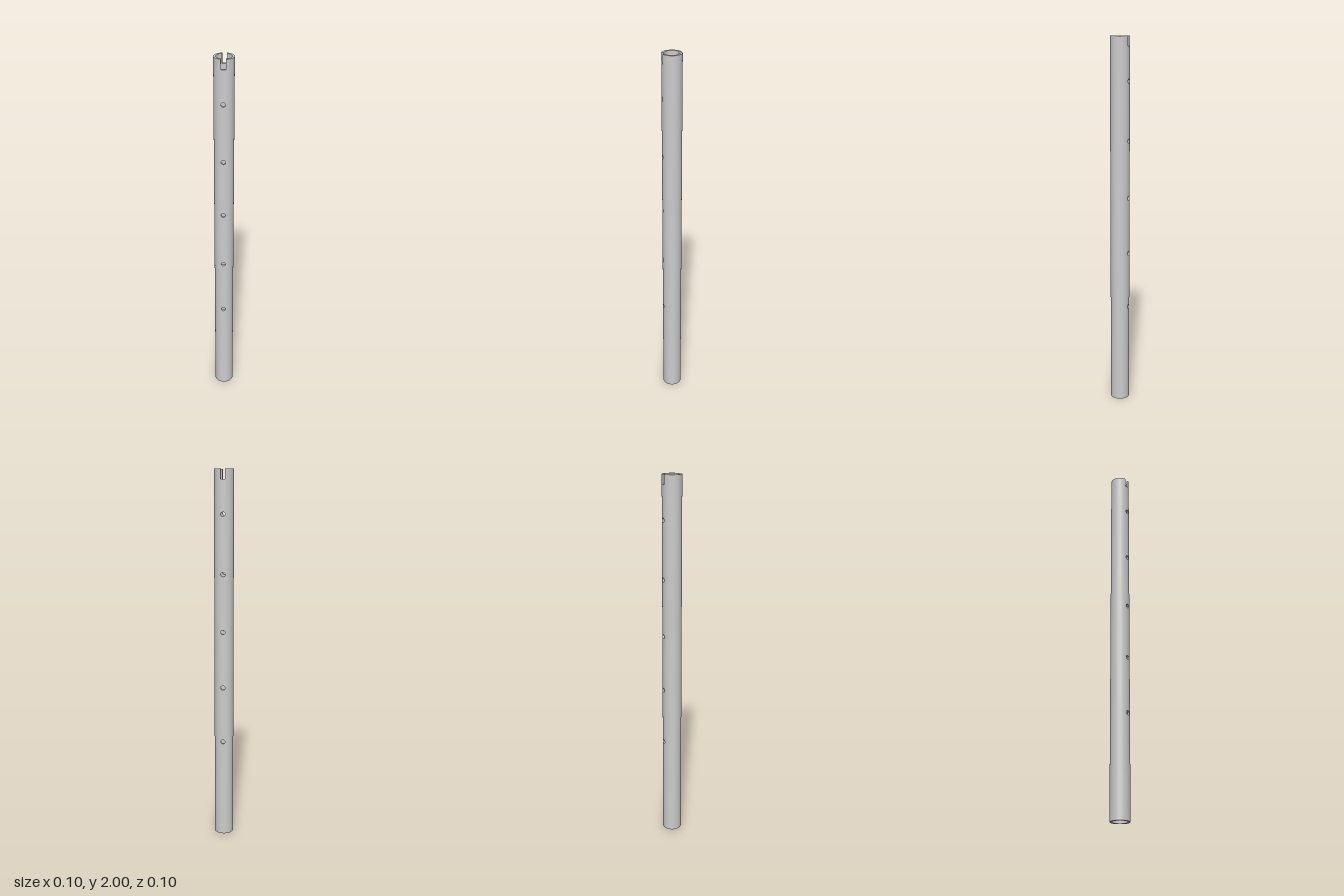
import * as THREE from 'three';
import { mergeGeometries } from 'three/addons/utils/BufferGeometryUtils.js';

const OUTER = 0.0513, INNER = 0.0397, HEIGHT = 2;
const HOLE = 0.0117;               // hole radius and half the slot width
const SLOT_FLOOR = 1.95;
const HOLES = [0.548, 0.855, 1.161, 1.468, 1.775];

// Ruled surface from curve a(t) to curve b(t); radial = 1 / -1 gives round outward / inward normals
function ruled(a, b, n, radial = 0) {
  const pos = [], index = [];
  for (let i = 0; i <= n; i++) {
    pos.push(...a(i / n), ...b(i / n));
    if (i < n) index.push(2 * i, 2 * i + 2, 2 * i + 1, 2 * i + 1, 2 * i + 2, 2 * i + 3);
  }
  const g = new THREE.BufferGeometry();
  g.setAttribute('position', new THREE.Float32BufferAttribute(pos, 3));
  g.setIndex(index);
  g.computeVertexNormals();
  if (radial) {
    const v = new THREE.Vector3();
    for (let i = 0; i < pos.length / 3; i++) {
      v.set(pos[3 * i], 0, pos[3 * i + 2]).normalize().multiplyScalar(radial);
      g.attributes.normal.setXYZ(i, v.x, v.y, v.z);
    }
  }
  return g;
}

// Curved piece of wall: outside, inside, top and bottom faces
function wall(angle, low, high, n) {
  const edge = (r, y) => (t) => {
    const a = angle(r, t);
    return [r * Math.sin(a), y(t), r * Math.cos(a)];
  };
  return [
    ruled(edge(OUTER, low), edge(OUTER, high), n, 1),
    ruled(edge(INNER, high), edge(INNER, low), n, -1),
    ruled(edge(OUTER, high), edge(INNER, high), n),
    ruled(edge(INNER, low), edge(OUTER, low), n),
  ];
}

export function createModel() {
  const model = new THREE.Group();
  model.name = 'slottedTube';
  const material = new THREE.MeshStandardMaterial({ color: 0xcccccc });

  // Side shell between the two slots, with the flat slot cheeks
  const start = (r) => Math.asin(HOLE / r);
  const shell = wall((r, t) => start(r) + t * (Math.PI - 2 * start(r)), () => 0, () => HEIGHT, 32);
  const zOut = Math.sqrt(OUTER ** 2 - HOLE ** 2), zIn = Math.sqrt(INNER ** 2 - HOLE ** 2);
  for (const [z0, z1] of [[zIn, zOut], [-zOut, -zIn]]) {
    const line = (y) => (t) => [HOLE, y, z0 + t * (z1 - z0)];
    shell.push(ruled(line(SLOT_FLOOR), line(HEIGHT), 1));
  }

  // Narrow strip holding the holes, made of panels between one hole and the next
  const strip = [];
  const arc = (t) => HOLE * Math.sin(Math.PI * t);
  const across = (r, t) => Math.asin(-HOLE * Math.cos(Math.PI * t) / r);
  for (let i = 0; i <= HOLES.length; i++) {
    const low = i === 0 ? () => 0 : (t) => HOLES[i - 1] + arc(t);
    const high = i === HOLES.length ? () => SLOT_FLOOR : (t) => HOLES[i] - arc(t);
    strip.push(...wall(across, low, high, 16));
  }

  // The tube is the same half twice, turned about its axis
  const shellGeometry = mergeGeometries(shell), stripGeometry = mergeGeometries(strip);
  const halves = [['leftShell', 'frontHoleStrip'], ['rightShell', 'backHoleStrip']];
  halves.forEach((names, i) => {
    [shellGeometry, stripGeometry].forEach((geometry, k) => {
      const mesh = new THREE.Mesh(geometry, material);
      mesh.name = names[k];
      mesh.rotation.y = i * Math.PI;
      model.add(mesh);
    });
  });
  return model;
}
